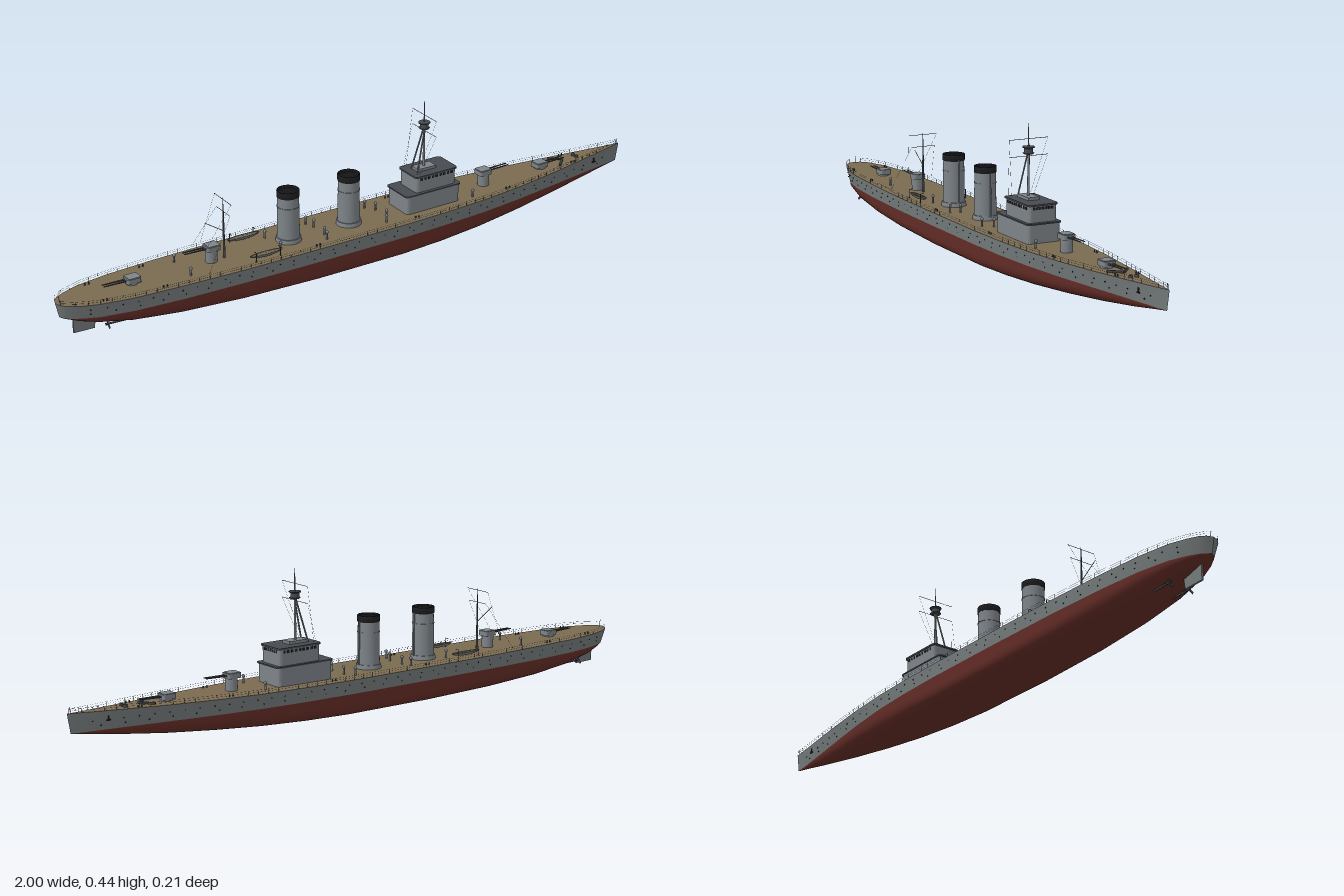
import * as THREE from 'three';
import { mergeGeometries } from 'three/addons/utils/BufferGeometryUtils.js';

const mat = (name, color, side = THREE.FrontSide) => {
  const m = new THREE.MeshStandardMaterial({ color, side });
  m.name = name;
  return m;
};
const V = (x, y, z) => new THREE.Vector3(x, y, z);
const WATERLINE = 0.073;

// x, deck half-width, waterline half-width, deck height, keel height, section fullness
const STATIONS = [
  [-1, 0, 0, 0.118, 0.073, 1], [-0.993, 0.02, 0.012, 0.118, 0.07, 1], [-0.98, 0.034, 0.025, 0.118, 0.066, 1],
  [-0.95, 0.051, 0.043, 0.117, 0.055, 0.95], [-0.9, 0.069, 0.063, 0.117, 0.041, 0.9], [-0.8, 0.086, 0.082, 0.116, 0.023, 0.8],
  [-0.65, 0.096, 0.094, 0.116, 0.011, 0.65], [-0.45, 0.103, 0.101, 0.115, 0.005, 0.5], [-0.2, 0.105, 0.104, 0.115, 0.002, 0.42],
  [0.1, 0.105, 0.104, 0.115, 0.002, 0.42], [0.25, 0.102, 0.1, 0.116, 0.004, 0.5], [0.4, 0.094, 0.09, 0.117, 0.009, 0.6],
  [0.55, 0.078, 0.072, 0.119, 0.018, 0.72], [0.7, 0.055, 0.048, 0.122, 0.031, 0.85], [0.85, 0.028, 0.023, 0.126, 0.05, 1],
  [0.95, 0.009, 0.007, 0.129, 0.066, 1.1], [0.997, 0.0006, 0.0004, 0.131, 0.073, 1.1],
];

// Hull data at any x
function hullAt(x) {
  let i = 0;
  while (i < STATIONS.length - 2 && STATIONS[i + 1][0] < x) i++;
  const a = STATIONS[i], b = STATIONS[i + 1], t = (x - a[0]) / (b[0] - a[0]);
  return a.map((v, k) => v + (b[k] - v) * t);
}
const deckY = (x) => hullAt(x)[3];

// Skin the stations with a row of points each
function loft(rowOf) {
  const rows = STATIONS.map(rowOf), n = rows[0].length, index = [];
  for (let i = 0; i < rows.length - 1; i++)
    for (let j = 0; j < n - 1; j++) {
      const a = i * n + j, b = a + n;
      index.push(a, a + 1, b, b, a + 1, b + 1);
    }
  const g = new THREE.BufferGeometry();
  g.setAttribute('position', new THREE.Float32BufferAttribute(rows.flat(2), 3));
  g.setIndex(index);
  g.computeVertexNormals();
  return g;
}

// Thin rod between two points
function rod(a, b, r, r2 = r, sides = 6) {
  const d = b.clone().sub(a);
  const g = new THREE.CylinderGeometry(r2, r, d.length(), sides);
  g.applyQuaternion(new THREE.Quaternion().setFromUnitVectors(V(0, 1, 0), d.normalize()));
  return g.translate((a.x + b.x) / 2, (a.y + b.y) / 2, (a.z + b.z) / 2);
}
const box = (w, h, d, x, y, z) => new THREE.BoxGeometry(w, h, d).translate(x, y, z);
const cyl = (rt, rb, h, x, y, z, n = 20) => new THREE.CylinderGeometry(rt, rb, h, n).translate(x, y, z);

// Rounded-corner block standing on y
function block(x0, x1, halfZ, y, h, r = 0.012) {
  const s = new THREE.Shape(), z = halfZ;
  s.moveTo(x0 + r, -z).lineTo(x1 - r, -z).quadraticCurveTo(x1, -z, x1, -z + r);
  s.lineTo(x1, z - r).quadraticCurveTo(x1, z, x1 - r, z).lineTo(x0 + r, z);
  s.quadraticCurveTo(x0, z, x0, z - r).lineTo(x0, -z + r).quadraticCurveTo(x0, -z, x0 + r, -z);
  return new THREE.ExtrudeGeometry(s, { depth: h, bevelEnabled: false, curveSegments: 4 }).rotateX(-Math.PI / 2).translate(0, y, 0);
}

export function createModel() {
  const ship = new THREE.Group();
  ship.name = 'warship';
  const grey = mat('hull grey', 0x727879, THREE.DoubleSide), red = mat('underwater red', 0x632c26, THREE.DoubleSide);
  const wood = mat('deck planking', 0x7a6a50), paint = mat('superstructure grey', 0x7d8388);
  const dark = mat('dark grey', 0x474b51), black = mat('black', 0x1d1d1f, THREE.DoubleSide);
  const add = (name, parts, material, parent = ship) => {
    const list = [].concat(parts).map((g) => (g.index ? g.toNonIndexed() : g));
    const m = new THREE.Mesh(list.length > 1 ? mergeGeometries(list) : list[0], material);
    m.name = name;
    parent.add(m);
    return m;
  };
  const sides = [1, -1];

  // Hull
  const N = 20;
  add('lowerHull', loft(([x, , w, , keel, p]) => Array.from({ length: N + 1 }, (_, j) => {
    const a = Math.PI * j / N, c = Math.cos(a), s = Math.max(0, Math.sin(a));
    return [x * 0.99, WATERLINE - (WATERLINE - keel) * s ** p, Math.sign(c) * w * Math.abs(c) ** p];
  })), red);
  for (const s of sides)
    add(s > 0 ? 'frontHullSide' : 'backHullSide', loft(([x, d, w, y]) => {
      const row = [[x, y, s * d], [x * 0.995, (y + WATERLINE) / 2, s * (d + w) / 2], [x * 0.99, WATERLINE, s * w]];
      return s > 0 ? row : row.reverse();
    }), grey);
  add('deck', loft(([x, d, , y]) => [[x, y, -d], [x, y, d]]), wood);

  // Railing, portholes, bow anchors
  const rail = [], ports = [], anchors = [];
  const edge = (x, s, up) => { const h = hullAt(x); return V(x, h[3] + up, s * h[1] * 0.985); };
  for (const s of sides) {
    const xs = Array.from({ length: 61 }, (_, i) => -0.993 + 1.983 * i / 60);
    xs.forEach((x, i) => {
      rail.push(rod(edge(x, s, 0), edge(x, s, 0.013), 0.0005, 0.0005, 4));
      if (i) for (const up of [0.007, 0.013]) rail.push(rod(edge(xs[i - 1], s, up), edge(x, s, up), 0.0003, 0.0003, 3));
    });
    for (const [y, step] of [[0.101, 0.045], [0.087, 0.07]])
      for (let x = -0.92; x < 0.93; x += step) {
        const h = hullAt(x), t = (y - WATERLINE) / (h[3] - WATERLINE);
        const z = h[2] + (h[1] - h[2]) * t;
        ports.push(new THREE.CylinderGeometry(0.002, 0.002, 0.002, 8).rotateX(Math.PI / 2).translate(x, y, s * z));
      }
    anchors.push(box(0.012, 0.003, 0.004, 0.88, 0.1, s * 0.022), box(0.003, 0.014, 0.004, 0.88, 0.106, s * 0.022));
  }
  add('railing', rail, dark);
  add('portholes', ports, black);
  add('anchors', anchors, black);

  // Rudder, shafts and propellers
  const rs = new THREE.Shape([[-0.95, 0.012], [-0.885, 0.01], [-0.88, 0.05], [-0.95, 0.062]].map((p) => new THREE.Vector2(...p)));
  add('rudder', new THREE.ExtrudeGeometry(rs, { depth: 0.006, bevelEnabled: false }).translate(0, 0, -0.003), grey);
  const screws = [];
  for (const s of sides) {
    screws.push(rod(V(-0.7, 0.025, s * 0.035), V(-0.865, 0.03, s * 0.035), 0.003));
    for (let k = 0; k < 3; k++)
      screws.push(box(0.002, 0.015, 0.007, 0, 0.008, 0).rotateX(k * Math.PI * 2 / 3).translate(-0.86, 0.03, s * 0.035));
  }
  add('propellers', screws, dark);

  // Bridge
  const bridge = new THREE.Group();
  bridge.name = 'bridge';
  ship.add(bridge);
  add('lowerBridge', block(0.14, 0.332, 0.054, 0.114, 0.057), paint, bridge);
  add('lowerBridgeRoof', block(0.136, 0.336, 0.056, 0.171, 0.004), dark, bridge);
  add('upperBridge', block(0.178, 0.323, 0.046, 0.175, 0.05), paint, bridge);
  add('bridgeRoof', block(0.174, 0.327, 0.049, 0.223, 0.005), dark, bridge);
  add('roofHouse', box(0.065, 0.009, 0.036, 0.235, 0.232, 0), paint, bridge);
  const panes = [];
  for (let i = -3; i <= 3; i++) panes.push(box(0.002, 0.008, 0.007, 0.323, 0.216, i * 0.0098));
  for (const s of sides) for (let i = 0; i < 9; i++) panes.push(box(0.008, 0.008, 0.002, 0.196 + i * 0.0138, 0.216, s * 0.046));
  add('bridgeWindows', panes, black, bridge);

  // Funnels
  for (const [name, x] of [['aftFunnel', -0.245], ['foreFunnel', -0.035]]) {
    const f = new THREE.Group();
    f.name = name;
    f.position.x = x;
    ship.add(f);
    add('casing', [cyl(0.032, 0.034, 0.145, 0, 0.187, 0, 28), cyl(0.037, 0.039, 0.014, 0, 0.121, 0, 28),
      cyl(0.034, 0.034, 0.003, 0, 0.225, 0, 28), rod(V(0.036, 0.115, 0), V(0.035, 0.26, 0), 0.002)], paint, f);
    const ring = [[0.028, 0.257], [0.034, 0.257], [0.034, 0.276], [0.029, 0.276], [0.028, 0.262], [0, 0.262]];
    add('cap', new THREE.LatheGeometry(ring.map((p) => new THREE.Vector2(...p)), 28), black, f);
    const bars = [];
    for (let i = -2; i <= 2; i++)
      bars.push(box(0.05, 0.001, 0.001, 0, 0.274, i * 0.009), box(0.001, 0.001, 0.05, i * 0.009, 0.274, 0));
    add('grating', bars, dark, f);
  }

  // Twin gun mounts: x, base height, facing
  for (const [name, x, lift, dir] of [['foreGun', 0.68, 0, 1], ['raisedForeGun', 0.46, 0.032, 1], ['raisedAftGun', -0.505, 0.032, -1], ['aftGun', -0.762, 0, -1]]) {
    const g = new THREE.Group(), y = deckY(x) + lift;
    g.name = name;
    g.position.set(x, y, 0);
    g.rotation.y = dir > 0 ? 0 : Math.PI;
    ship.add(g);
    add('mounting', cyl(0.018, 0.018, lift + 0.006, 0, 0.003 - lift / 2, 0), paint, g);
    add('gunHouse', block(-0.023, 0.02, 0.019, 0.005, 0.015, 0.007), paint, g);
    add('gunHouseRoof', block(-0.021, 0.016, 0.017, 0.02, 0.0015, 0.006), paint, g);
    add('barrels', sides.map((s) => rod(V(0.01, 0.013, s * 0.006), V(0.09, 0.015, s * 0.006), 0.0028, 0.0018, 8)), dark, g);
  }

  // Foremast: tripod, lookout top, yards
  const fx = 0.235;
  add('foremast', [rod(V(fx, 0.225, 0), V(fx, 0.375, 0), 0.004, 0.003, 8), rod(V(fx, 0.375, 0), V(fx, 0.447, 0), 0.0025, 0.001),
    ...sides.map((s) => rod(V(fx - 0.035, 0.225, s * 0.017), V(fx, 0.36, s * 0.003), 0.0025))], paint);
  add('lookoutTop', [cyl(0.017, 0.013, 0.003, fx, 0.359, 0), cyl(0.013, 0.013, 0.014, fx, 0.367, 0), cyl(0.018, 0.018, 0.003, fx, 0.378, 0)], dark);
  // Mainmast with gaff
  const mx = -0.462;
  add('mainmast', [rod(V(mx, 0.115, 0), V(mx, 0.285, 0), 0.004, 0.0018, 8), rod(V(mx, 0.285, 0), V(mx, 0.305, 0), 0.001)], dark);
  add('gaff', rod(V(mx, 0.2, 0), V(mx - 0.06, 0.24, 0), 0.001), dark);
  add('yards', [[fx, 0.402, 0.063], [fx, 0.352, 0.063], [mx, 0.3, 0.048], [mx, 0.262, 0.04]]
    .map(([x, y, z]) => rod(V(x, y, -z), V(x, y, z), 0.0008)), dark);
  const lines = [];
  for (const s of sides)
    for (const [x, y, z, x2, y2, z2] of [[fx, 0.402, 0.063, 0.19, 0.228, 0.03], [fx, 0.352, 0.063, 0.19, 0.228, 0.042],
      [mx, 0.3, 0.048, -0.53, 0.17, 0.02], [mx, 0.262, 0.04, -0.55, 0.116, 0.07]])
      lines.push(rod(V(x, y, s * z), V(x2, y2, s * z2), 0.0003, 0.0003, 3));
  add('rigging', lines, dark);

  // Boats on davits
  for (const s of sides) {
    const z = s * 0.066, y = 0.131;
    const hull = new THREE.SphereGeometry(1, 18, 8, 0, Math.PI * 2, Math.PI / 2, Math.PI / 2).scale(0.055, 0.011, 0.011);
    add('boatHull', hull.translate(-0.36, y, z), grey);
    add('boatInside', new THREE.CircleGeometry(1, 18).rotateX(-Math.PI / 2).scale(0.05, 1, 0.009).translate(-0.36, y - 0.001, z), wood);
    add('boatBenches', [-0.03, -0.015, 0, 0.015, 0.03].map((d) => box(0.003, 0.001, 0.017, -0.36 + d, y, z)), paint);
    add('davits', [-0.04, 0.04].flatMap((d) => [rod(V(-0.36 + d, 0.115, z + s * 0.012), V(-0.36 + d, 0.143, z + s * 0.012), 0.0012),
      rod(V(-0.36 + d, 0.143, z + s * 0.012), V(-0.36 + d, 0.143, z), 0.001)]), dark);
  }

  // Deck fittings: vents, bollards, capstans, breakwater
  const vents = [], bollards = [];
  for (const s of sides) {
    for (const [x, z] of [[-0.3, 0.045], [-0.15, 0.06], [-0.14, 0.03], [0.06, 0.06], [0.08, 0.03], [0.38, 0.055], [-0.6, 0.05]])
      vents.push(cyl(0.003, 0.003, 0.022, x, 0.126, s * z, 8), new THREE.SphereGeometry(0.005, 8, 6).translate(x + 0.001, 0.138, s * z));
    for (const x of [-0.88, -0.7, -0.2, 0.15, 0.5, 0.78])
      for (const d of [0, 0.012]) bollards.push(cyl(0.002, 0.002, 0.007, x + d, deckY(x) + 0.003, s * hullAt(x)[1] * 0.8, 8));
    bollards.push(cyl(0.005, 0.006, 0.008, 0.82, 0.129, s * 0.009, 10));
    bollards.push(rod(V(0.735, 0.127, s * 0.032), V(0.77, 0.128, 0), 0.004, 0.004, 4));
  }
  add('ventilators', vents, paint);
  add('deckFittings', bollards, dark);
  add('jackstaff', rod(V(0.985, 0.13, 0), V(0.988, 0.148, 0), 0.0008), dark);
  add('ensignStaff', rod(V(-0.985, 0.117, 0), V(-0.99, 0.14, 0), 0.0008), dark);
  return ship;
}
